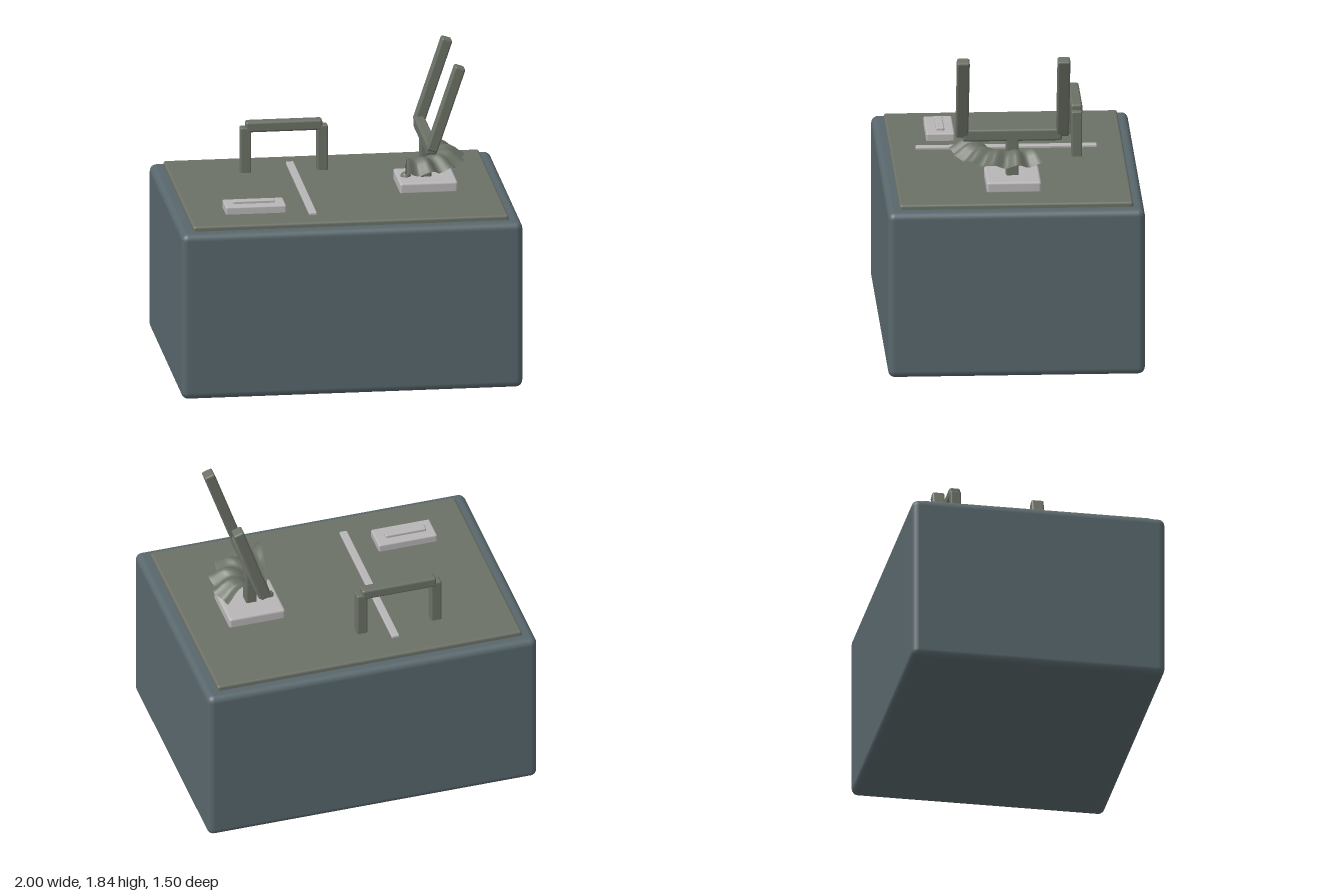
import * as THREE from 'three';
import { RoundedBoxGeometry } from 'three/addons/geometries/RoundedBoxGeometry.js';

export function createModel() {
  const model = new THREE.Group();
  model.name = 'equipmentBox';

  const material = (name, color) => {
    const m = new THREE.MeshStandardMaterial({ color });
    m.name = name;
    return m;
  };
  const slate = material('slate', 0x58676c);
  const olive = material('olive grey', 0x6b7166);
  const silver = material('light grey', 0xb8b5b6);
  olive.side = THREE.DoubleSide; // the fan is an open sheet

  const add = (name, geometry, mat, x = 0, y = 0, z = 0) => {
    const mesh = new THREE.Mesh(geometry, mat);
    mesh.name = name;
    mesh.position.set(x, y, z);
    model.add(mesh);
    return mesh;
  };
  // Bevelled block given by its minimum and maximum corners
  const block = (name, mat, [x0, y0, z0], [x1, y1, z1], bevel = 0.01) =>
    add(name, new RoundedBoxGeometry(x1 - x0, y1 - y0, z1 - z0, 3, bevel), mat,
      (x0 + x1) / 2, (y0 + y1) / 2, (z0 + z1) / 2);

  // Case and lid
  block('body', slate, [-1, 0, -0.75], [1, 1, 0.745], 0.04);
  block('lid', olive, [-0.925, 0.98, -0.685], [0.925, 1.03, 0.675], 0.015);

  // Lid fittings
  block('seamStrip', silver, [-0.226, 1.02, -0.53], [-0.18, 1.045, 0.525], 0.006);
  block('latchPlate', silver, [-0.705, 1.02, 0.29], [-0.35, 1.075, 0.455]);
  block('latchBar', silver, [-0.655, 1.06, 0.347], [-0.41, 1.092, 0.395], 0.008);

  // Carrying handle
  for (const x of [-0.48, -0.03])
    block('handlePost', olive, [x - 0.032, 1.02, -0.435], [x + 0.032, 1.302, -0.373]);
  block('handleGrip', olive, [-0.48, 1.272, -0.438], [-0.03, 1.336, -0.372], 0.014);

  // Yoke: base, column, crossbar and two leaning arms
  block('yokeBase', silver, [0.355, 1.02, -0.162], [0.695, 1.09, 0.157], 0.015);
  block('yokeColumn', olive, [0.49, 1.08, -0.037], [0.555, 1.325, 0.037]);
  block('yokeCrossbar', olive, [0.49, 1.295, -0.29], [0.555, 1.368, 0.29], 0.014);
  const lean = Math.atan2(0.165, 0.49);
  for (const z of [-0.293, 0.293]) {
    const arm = add('yokeArm', new RoundedBoxGeometry(0.064, 0.53, 0.074, 3, 0.012), olive,
      0.604, 1.578, z);
    arm.rotation.z = -lean;
  }

  // Rippled fan: rises from its pivot, arches over and droops at a scalloped rim
  const steps = 60, rings = 12, start = -0.54, sweep = 2.22;
  const fan = new THREE.PlaneGeometry(1, 1, steps, rings);
  const p = fan.attributes.position;
  const arch = new THREE.SplineCurve([
    new THREE.Vector2(0, 0), new THREE.Vector2(0.25, 0.075), new THREE.Vector2(0.5, 0.15),
    new THREE.Vector2(0.75, 0.16), new THREE.Vector2(1, 0.1),
  ]);
  for (let i = 0; i < p.count; i++) {
    const t = p.getX(i) + 0.5, s = p.getY(i) + 0.5;
    const angle = start + sweep * t, ripple = Math.cos(10 * Math.PI * t);
    const r = s * (0.335 + 0.016 * ripple);
    p.setXYZ(i, r * Math.cos(angle), arch.getPoint(s).y + 0.014 * s * ripple, r * Math.sin(angle));
  }
  fan.computeVertexNormals();
  add('fan', fan, olive, 0.405, 1.095, 0.01);
  add('fanPivot', new THREE.SphereGeometry(0.032, 12, 8), olive, 0.407, 1.085, 0.007);

  return model;
}
